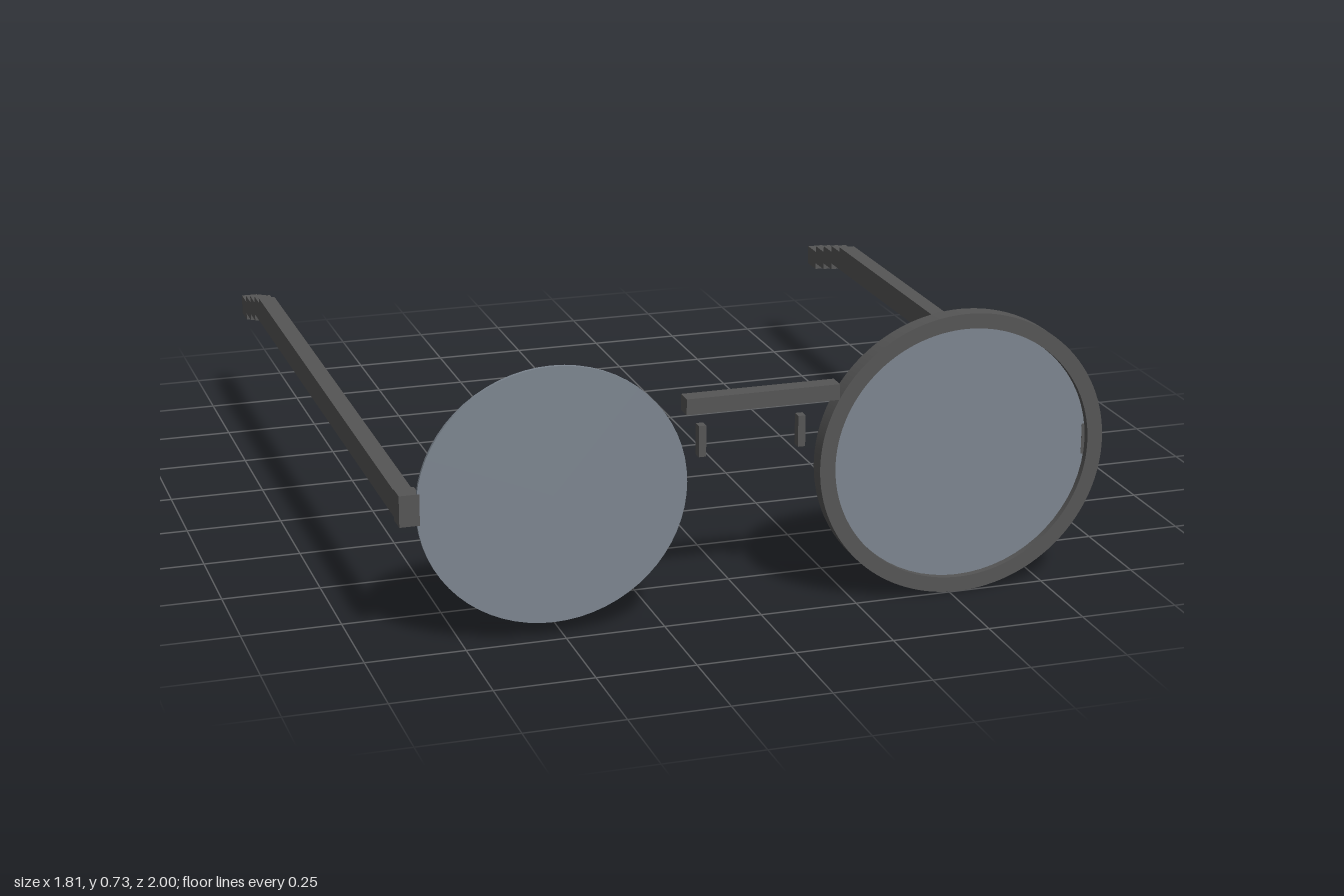
import * as THREE from 'three';
import { toCreasedNormals } from 'three/addons/utils/BufferGeometryUtils.js';

export function createModel() {
  const group = new THREE.Group();
  const frameMat = new THREE.MeshStandardMaterial({ color: 0x555555 });
  frameMat.name = 'dark grey frame';
  const lensMat = new THREE.MeshStandardMaterial({ color: 0x7c858f });
  lensMat.name = 'smoky lens';

  const eyeX = 0.525, eyeY = 0.3645;

  const add = (name, geometry, material) => {
    const mesh = new THREE.Mesh(geometry, material);
    mesh.name = name;
    group.add(mesh);
    return mesh;
  };
  // Box given by its limits on each axis
  const box = (name, x0, x1, y0, y1, z0, z1) => {
    add(name, new THREE.BoxGeometry(Math.abs(x1 - x0), y1 - y0, z1 - z0), frameMat)
      .position.set((x0 + x1) / 2, (y0 + y1) / 2, (z0 + z1) / 2);
  };

  // Oval rim, on the left side only
  const rim = new THREE.Shape().absellipse(0, 0, 0.377, 0.3635, 0, Math.PI * 2);
  rim.holes.push(new THREE.Path().absellipse(0, 0, 0.337, 0.325, 0, Math.PI * 2, true));
  const rimGeo = new THREE.ExtrudeGeometry(rim, { depth: 0.045, bevelEnabled: false, curveSegments: 64 });
  add('leftRim', toCreasedNormals(rimGeo, 0.6), frameMat).position.set(eyeX, eyeY, 0.955);

  // Bridge
  box('bridge', -0.196, 0.196, 0.54, 0.58, 0.955, 1);

  for (const [side, s] of [['left', 1], ['right', -1]]) {
    // Thin oval lens
    const lens = new THREE.CylinderGeometry(1, 1, 0.009, 64);
    lens.rotateX(Math.PI / 2).scale(0.337, 0.325, 1);
    add(side + 'Lens', lens, lensMat).position.set(s * eyeX, eyeY, 0.978);

    // Nose pad, hinge and temple arm
    box(side + 'NosePad', s * 0.119, s * 0.138, 0.4, 0.48, 0.895, 0.92);
    box(side + 'Hinge', s * 0.853, s * 0.903, 0.326, 0.405, 0.93, 0.983);
    box(side + 'Arm', s * 0.857, s * 0.902, 0.332, 0.4, -0.732, 0.94);

    // Ear tip stepping down towards the back
    for (let i = 0; i < 4; i++) {
      const z = -0.732 - i * 0.067, y = 0.332 - i * 0.0182;
      box(side + 'EarTip' + (i + 1), s * 0.857, s * 0.902, y, y + 0.054, z - 0.067, z);
    }
  }
  return group;
}
